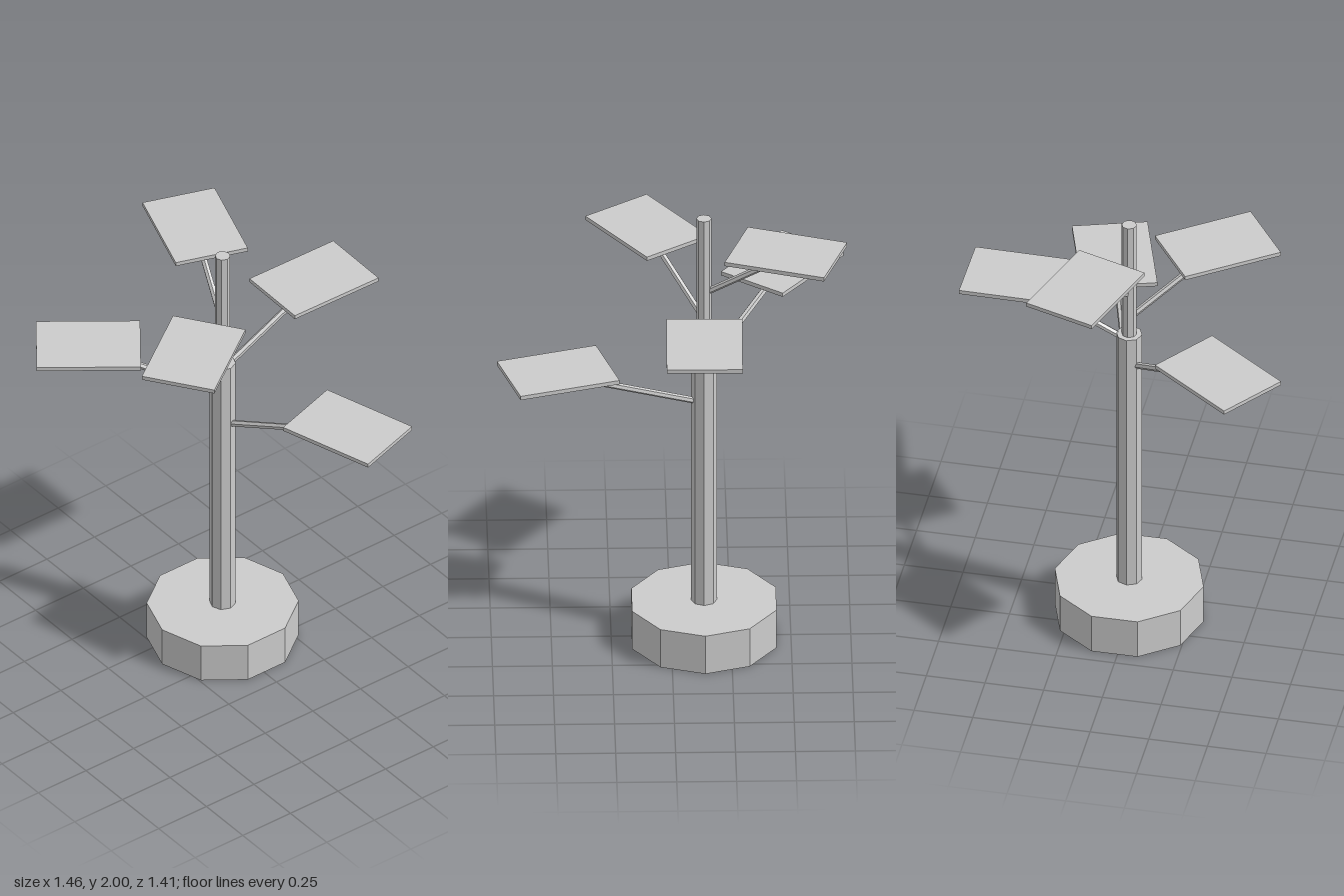
import * as THREE from 'three';

export function createModel() {
  const model = new THREE.Group();
  const grey = new THREE.MeshStandardMaterial({ color: 0xcccccc, flatShading: true });
  grey.name = 'light grey';
  const axis = new THREE.Vector3(-0.137, 0, -0.013);

  const add = (name, geometry) => {
    const mesh = new THREE.Mesh(geometry, grey);
    mesh.name = name;
    model.add(mesh);
    return mesh;
  };

  // Upright prism on the trunk axis between two heights
  const prism = (name, radius, sides, y0, y1) => {
    const mesh = add(name, new THREE.CylinderGeometry(radius, radius, y1 - y0, sides));
    mesh.position.set(axis.x, (y0 + y1) / 2, axis.z);
  };
  prism('base', 0.317, 10, 0, 0.18);
  prism('lowerTrunk', 0.055, 8, 0.18, 1.44);
  prism('upperTrunk', 0.032, 8, 1.44, 2);

  // Panels spiral up the trunk, each a turn of 144 degrees from the last:
  // [reach, panel height, branch start radius, branch start height]
  const limbs = [
    [0.64, 1.375, 0.047, 1.14],
    [0.56, 1.53, 0.047, 1.3],
    [0.475, 1.655, 0.047, 1.425],
    [0.403, 1.775, 0.025, 1.535],
    [0.359, 1.89, 0.025, 1.66],
  ];
  const up = new THREE.Vector3(0, 1, 0);
  limbs.forEach(([reach, height, startRadius, startHeight], i) => {
    const angle = THREE.MathUtils.degToRad(-17.2 + 144 * i);
    const point = (r, y) =>
      new THREE.Vector3(axis.x + r * Math.cos(angle), y, axis.z + r * Math.sin(angle));

    // Flat panel pointing outwards
    const panel = add('panel', new THREE.BoxGeometry(0.435, 0.018, 0.317));
    panel.position.copy(point(reach, height));
    panel.rotation.y = -angle;

    // Slanted branch from the trunk to the underside of the panel
    const start = point(startRadius, startHeight);
    const end = point(reach, height - 0.012);
    const span = end.clone().sub(start);
    const branch = add('branch', new THREE.CylinderGeometry(0.014, 0.014, span.length(), 6));
    branch.position.copy(start).add(end).multiplyScalar(0.5);
    branch.quaternion.setFromUnitVectors(up, span.normalize());
  });

  return model;
}
